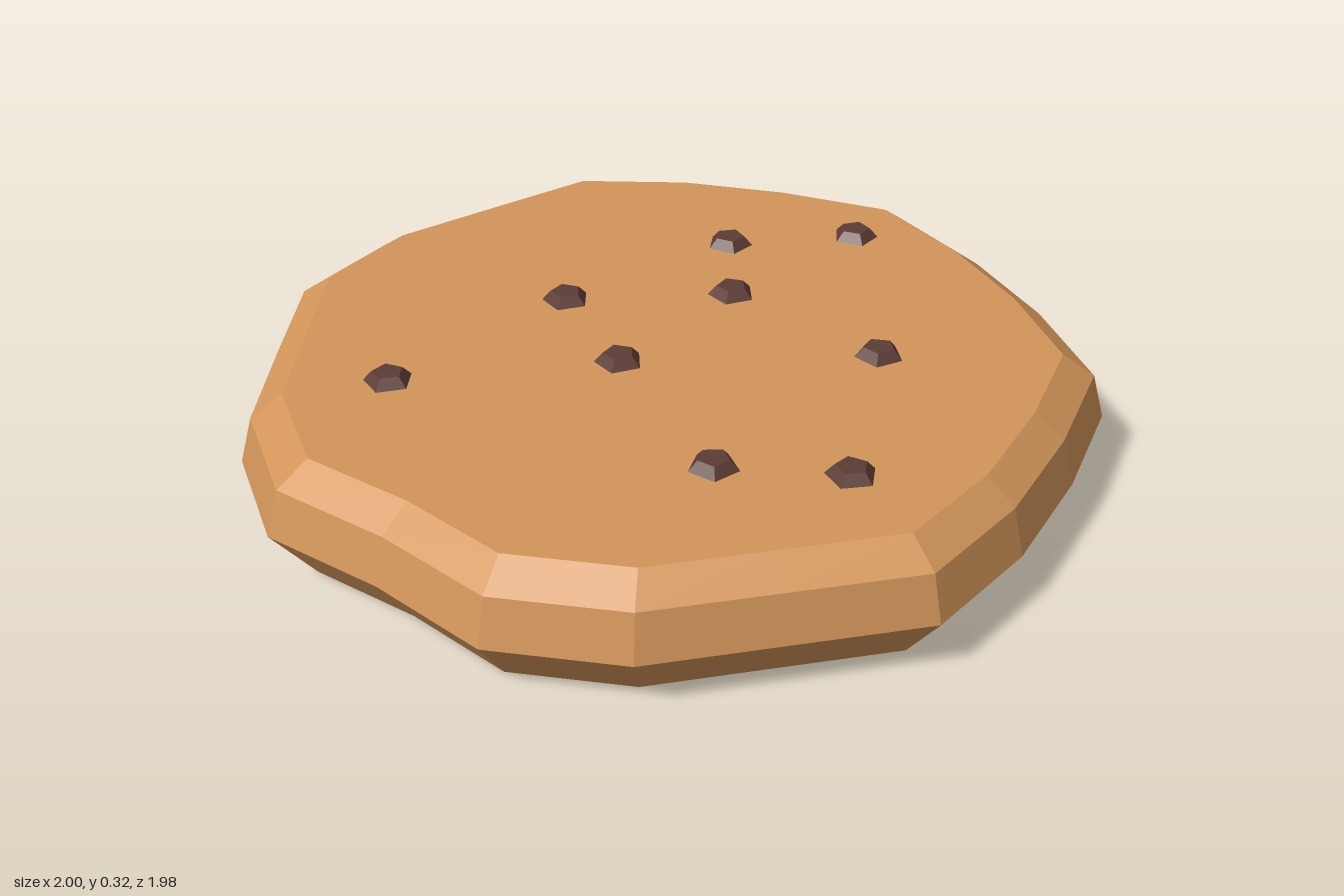
import * as THREE from 'three';

// Irregular outline (x, z) at the widest level, counter-clockwise seen from above
const OUTLINE = [
  [1, 0], [0.9, -0.31], [0.77, -0.58], [0.58, -0.83], [0.28, -0.91],
  [-0.03, -0.99], [-0.34, -0.96], [-0.59, -0.775], [-0.84, -0.585], [-1, -0.31],
  [-0.975, 0], [-0.99, 0.31], [-0.835, 0.585], [-0.59, 0.78], [-0.34, 0.98],
  [-0.03, 0.985], [0.28, 0.93], [0.58, 0.84], [0.765, 0.58], [0.9, 0.31],
];

// Height and outline scale of each ring, from the base up
const RINGS = [[0, 0.9], [0.135, 1], [0.245, 0.97], [0.298, 0.895]];

// Chip positions (x, z) and turn
const CHIPS = [
  [-0.56, -0.38, 0], [-0.015, -0.325, 0.05], [0.475, -0.2, 0.55],
  [-0.16, -0.03, 0.1], [0.265, -0.03, 0.1], [0.715, 0.025, 0.63],
  [-0.37, 0.415, 0.4], [0.245, 0.42, 0.2], [-0.21, 0.66, -0.1],
];

// Stack the scaled rings and close both ends with fans
function stackedRings(outline, rings) {
  const n = outline.length;
  const pos = [];
  const index = [];
  for (const [y, s] of rings) {
    for (const [x, z] of outline) pos.push(x * s, y, z * s);
  }
  const top = (rings.length - 1) * n;
  const bottomCentre = rings.length * n;
  pos.push(0, rings[0][0], 0, 0, rings[rings.length - 1][0], 0);
  for (let i = 0; i < n; i++) {
    const k = (i + 1) % n;
    for (let r = 0; r < top; r += n) {
      index.push(r + i, r + k, r + n + k, r + i, r + n + k, r + n + i);
    }
    index.push(bottomCentre, k, i, bottomCentre + 1, top + i, top + k);
  }
  const geometry = new THREE.BufferGeometry();
  geometry.setAttribute('position', new THREE.Float32BufferAttribute(pos, 3));
  geometry.setIndex(index);
  const flat = geometry.toNonIndexed();
  flat.computeVertexNormals();
  return flat;
}

export function createModel() {
  const model = new THREE.Group();
  model.name = 'cookie';
  const dough = new THREE.MeshStandardMaterial({ color: 0xd2955a });
  dough.name = 'baked dough';
  const chocolate = new THREE.MeshStandardMaterial({ color: 0x5d3c36 });
  chocolate.name = 'dark chocolate';

  const body = new THREE.Mesh(stackedRings(OUTLINE, RINGS), dough);
  body.name = 'cookieBody';
  model.add(body);

  // Five-sided chips, slightly sunk into the top
  const chipShape = new THREE.CylinderGeometry(0.037, 0.064, 0.03, 5).toNonIndexed();
  chipShape.computeVertexNormals();
  const chips = new THREE.Group();
  chips.name = 'chocolateChips';
  CHIPS.forEach(([x, z, turn], i) => {
    const chip = new THREE.Mesh(chipShape, chocolate);
    chip.name = `chip${i + 1}`;
    chip.position.set(x, 0.307, z);
    chip.rotation.y = turn;
    chips.add(chip);
  });
  model.add(chips);
  return model;
}
